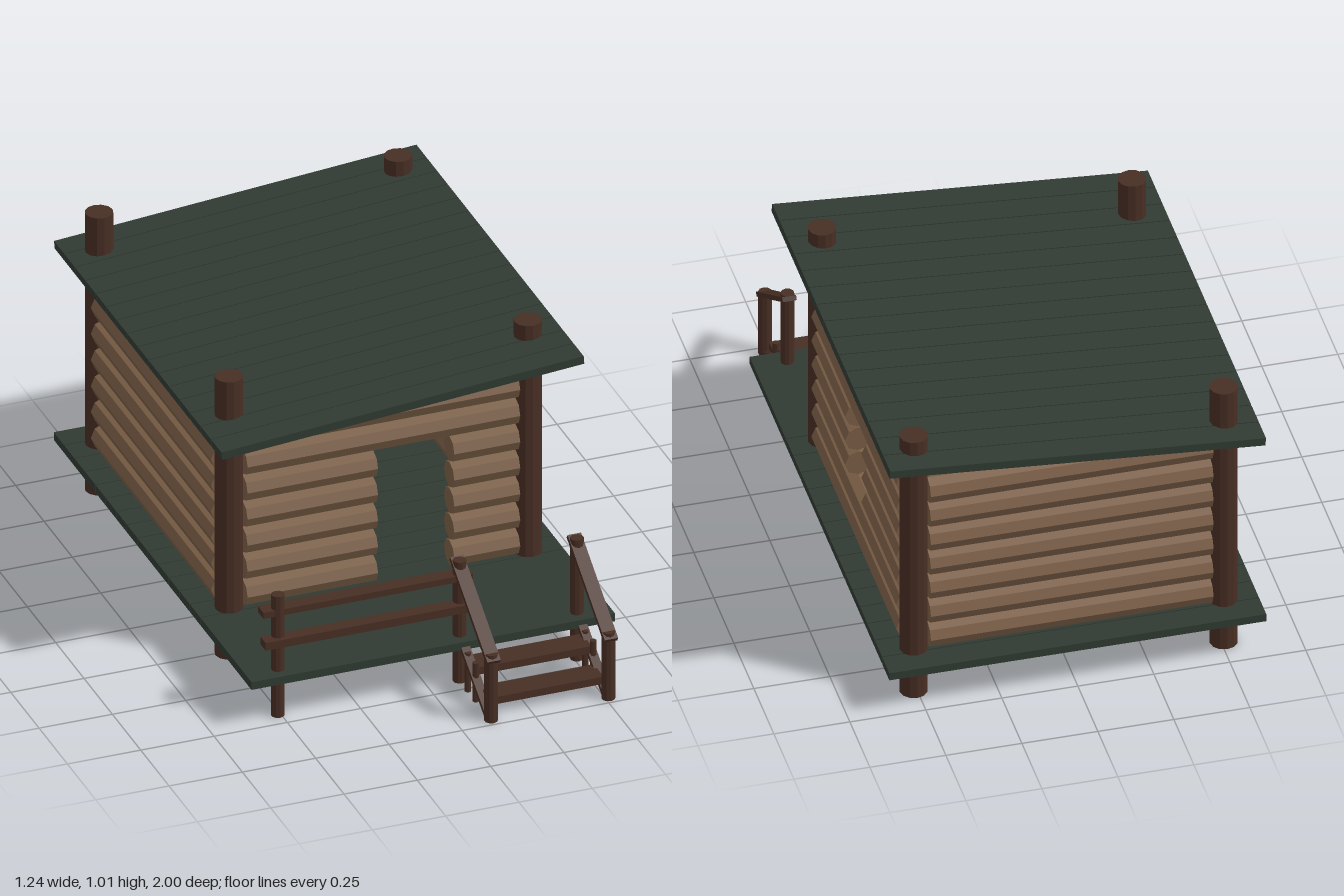
import * as THREE from 'three';

export function createModel() {
  const cabin = new THREE.Group();
  cabin.name = 'logCabin';

  const mat = (name, color) => {
    const m = new THREE.MeshStandardMaterial({ color, flatShading: true });
    m.name = name;
    return m;
  };
  const plankGreen = mat('darkGreenPlank', 0x303a32);
  const darkWood = mat('darkWood', 0x472e23);
  const logWood = mat('logWood', 0x7a5e46);

  const group = (name) => {
    const g = new THREE.Group();
    g.name = name;
    cabin.add(g);
    return g;
  };
  const add = (parent, name, geometry, material, x, y, z) => {
    const mesh = new THREE.Mesh(geometry, material);
    mesh.name = name;
    mesh.position.set(x, y, z);
    parent.add(mesh);
    return mesh;
  };
  const box = (parent, name, material, x0, x1, y0, y1, z0, z1) =>
    add(parent, name, new THREE.BoxGeometry(x1 - x0, y1 - y0, z1 - z0), material,
      (x0 + x1) / 2, (y0 + y1) / 2, (z0 + z1) / 2);
  const pole = (parent, name, x, z, r, top, sides) =>
    add(parent, name, new THREE.CylinderGeometry(r, r, top, sides), darkWood, x, top / 2, z);

  // Sloping bar in the y-z plane, from (y0, z0) to (y1, z1)
  const slopedBar = (parent, name, x, width, thick, y0, z0, y1, z1) => {
    const length = Math.hypot(y1 - y0, z1 - z0);
    const bar = add(parent, name, new THREE.BoxGeometry(width, thick, length), darkWood,
      x, (y0 + y1) / 2, (z0 + z1) / 2);
    bar.rotation.x = Math.atan2(y1 - y0, z0 - z1);
  };

  // Floor and roof planks
  const PITCH = 0.0925, GAP = 0.004;
  const floor = group('floor');
  const roof = group('roof');
  for (let i = 0; i < 16; i++) {
    const z0 = -1 + i * PITCH, z1 = z0 + PITCH - GAP;
    box(roof, 'roofPlank', plankGreen, -0.62, 0.62, -0.014, 0.014, z0, z1);
    if (i < 14) box(floor, 'floorPlank', plankGreen, -0.62, 0.62, 0.14, 0.168, z0, z1);
  }
  box(floor, 'porchDeck', plankGreen, -0.62, 0.62, 0.14, 0.168, -1 + 14 * PITCH, 0.745);
  roof.position.y = 0.902;
  roof.rotation.z = 0.082;

  // Corner posts
  const FRONT = 0.26, BACK = -0.885, SIDE = 0.51;
  const posts = group('cornerPosts');
  for (const x of [-SIDE, SIDE])
    for (const z of [FRONT, BACK]) pole(posts, 'cornerPost', x, z, 0.046, 1.01, 12);

  // Log walls: seven rows, each a list of spans along x or z
  const R = 0.0455;
  const log = (parent, along, from, to, y, offset) => {
    const g = new THREE.CylinderGeometry(R, R, to - from, 8);
    const mid = (from + to) / 2;
    if (along === 'x') {
      g.rotateZ(Math.PI / 2);
      add(parent, 'log', g, logWood, mid, y, offset);
    } else {
      g.rotateX(Math.PI / 2);
      add(parent, 'log', g, logWood, offset, y, mid);
    }
  };
  const frontWall = group('frontWall'), backWall = group('backWall');
  const leftWall = group('leftWall'), rightWall = group('rightWall');
  const X = 0.465, Z0 = -0.84, Z1 = 0.22;
  for (let row = 0; row < 7; row++) {
    const y = 0.217 + row * 0.095;
    // The doorway cuts the five lower rows
    const frontSpans = row < 5 ? [[-X, -0.02], [0.24, X]] : [[-X, X]];
    for (const [a, b] of frontSpans) log(frontWall, 'x', a, b, y, FRONT + 0.004);
    log(backWall, 'x', -X, X, y, BACK);
    // The window cuts three middle rows
    const sideSpans = row >= 2 && row <= 4 ? [[Z0, -0.405], [-0.2, Z1]] : [[Z0, Z1]];
    for (const [a, b] of sideSpans) log(leftWall, 'z', a, b, y, SIDE);
    log(rightWall, 'z', Z0, Z1, y, -SIDE);
  }

  // Porch railing
  const railing = group('porchRailing');
  for (const x of [-SIDE, 0.11, SIDE]) pole(railing, 'railingPost', x, 0.692, 0.022, 0.44, 10);
  box(railing, 'upperRail', darkWood, -0.565, 0.15, 0.368, 0.39, 0.658, 0.708);
  box(railing, 'lowerRail', darkWood, -0.565, 0.15, 0.262, 0.29, 0.68, 0.727);

  // Stairs with handrails
  const stairs = group('stairs');
  for (const x of [0.11, SIDE]) {
    pole(stairs, 'stairPost', x, 0.97, 0.022, 0.245, 10);
    for (const z of [0.765, 0.835]) pole(stairs, 'stairLeg', x, z, 0.011, 0.14, 8);
    slopedBar(stairs, 'handrail', x, 0.046, 0.016, 0.222, 0.993, 0.435, 0.665);
    slopedBar(stairs, 'stringer', x, 0.03, 0.016, 0.012, 0.95, 0.15, 0.73);
  }
  box(stairs, 'lowerTread', darkWood, 0.115, 0.505, 0.038, 0.064, 0.855, 0.942);
  box(stairs, 'upperTread', darkWood, 0.115, 0.505, 0.094, 0.12, 0.748, 0.836);

  return cabin;
}
